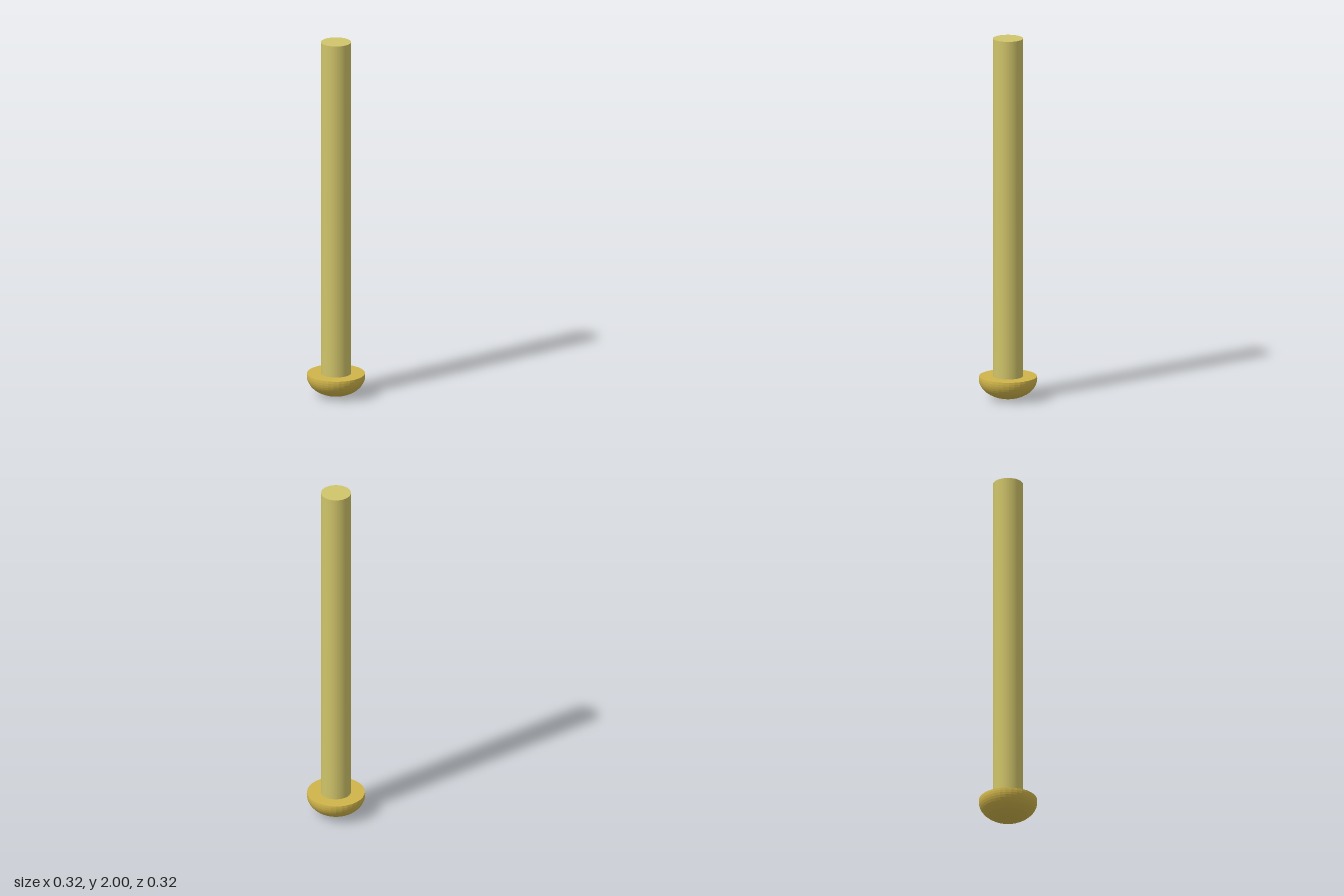
import * as THREE from 'three';

export function createModel() {
  const model = new THREE.Group();
  const headTop = 0.123, headRadius = 0.158, domeHeight = 0.108;

  // Straight round shank
  const length = 2 - headTop;
  const shank = new THREE.Mesh(
    new THREE.CylinderGeometry(0.081, 0.081, length, 64),
    new THREE.MeshStandardMaterial({ color: 0xd0c46a })
  );
  shank.name = 'shank';
  shank.position.y = headTop + length / 2;
  model.add(shank);

  // Domed head: elliptical profile from the pole to just past its widest ring, then a flat top
  const profile = [];
  const rows = 14;
  const end = Math.PI / 2 + Math.asin((headTop - domeHeight) / domeHeight);
  for (let i = 0; i <= rows; i++) {
    const a = (end * i) / rows;
    profile.push(new THREE.Vector2(headRadius * Math.sin(a), domeHeight * (1 - Math.cos(a))));
  }
  profile.push(new THREE.Vector2(0, headTop));
  const head = new THREE.Mesh(
    new THREE.LatheGeometry(profile, 32),
    new THREE.MeshStandardMaterial({ color: 0xcfb44a, flatShading: true })
  );
  head.name = 'domedHead';
  model.add(head);

  return model;
}
